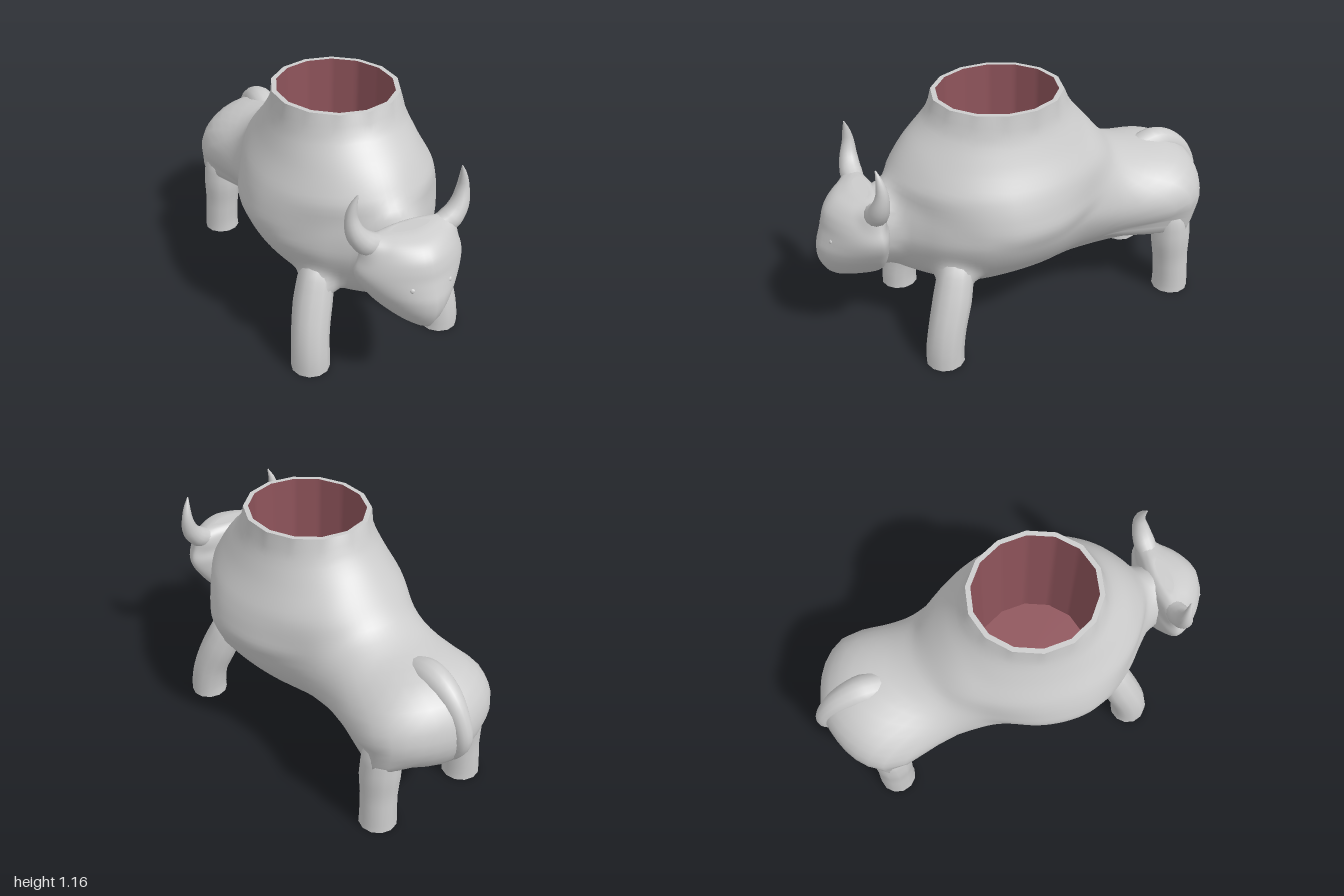
import * as THREE from 'three';

const grey = new THREE.MeshStandardMaterial({ color: 0xcccccc });
const red = new THREE.MeshStandardMaterial({ color: 0x8f545b });
const TAU = Math.PI * 2;
const around = (n, f) => Array.from({ length: n }, (_, j) => f(j / n * TAU));

// Skin a list of rings (each counter-clockwise about the direction of travel), with optional flat caps
function loft(name, rings, { start = false, end = false, material = grey } = {}) {
  const n = rings[0].length, pos = [], idx = [];
  rings.forEach(r => r.forEach(p => pos.push(p.x, p.y, p.z)));
  for (let i = 0; i < rings.length - 1; i++) {
    for (let j = 0; j < n; j++) {
      const k = (j + 1) % n, a = i * n + j, b = i * n + k;
      idx.push(a, b, b + n, a, b + n, a + n);
    }
  }
  const cap = (ring, flip) => {
    const base = pos.length / 3, c = new THREE.Vector3();
    ring.forEach(p => { pos.push(p.x, p.y, p.z); c.addScaledVector(p, 1 / n); });
    pos.push(c.x, c.y, c.z);
    for (let j = 0; j < n; j++) {
      const k = (j + 1) % n;
      idx.push(base + n, base + (flip ? k : j), base + (flip ? j : k));
    }
  };
  if (start) cap(rings[0], true);
  if (end) cap(rings[rings.length - 1], false);
  const g = new THREE.BufferGeometry();
  g.setAttribute('position', new THREE.Float32BufferAttribute(pos, 3));
  g.setIndex(idx);
  g.computeVertexNormals();
  const mesh = new THREE.Mesh(g, material);
  mesh.name = name;
  return mesh;
}

// Smoothly interpolated row of a table at t (first column), or null outside it
function rowAt(table, t) {
  const i = table.findIndex(r => r[0] >= t);
  if (i < 1) return null;
  const a = table[i - 1], b = table[i], before = table[Math.max(i - 2, 0)];
  const after = table[Math.min(i + 1, table.length - 1)];
  const w = b[0] - a[0], u = (t - a[0]) / w, u2 = u * u, u3 = u2 * u;
  return a.map((v, c) => {
    const ma = w * (b[c] - before[c]) / (b[0] - before[0]);
    const mb = w * (after[c] - v) / (after[0] - a[0]);
    return v * (2 * u3 - 3 * u2 + 1) + ma * (u3 - 2 * u2 + u) + b[c] * (3 * u2 - 2 * u3) + mb * (u3 - u2);
  });
}

// Solids: negative inside. blend() joins two with a soft fillet.
const blend = (a, b, k) => {
  const h = Math.max(k - Math.abs(a - b), 0) / k;
  return Math.min(a, b) - h * h * k / 4;
};
const balls = (p, x, y, z, r) => Math.hypot(Math.abs(p.x) - x, p.y - y, p.z - z) - r;

// Rounded surface of a solid, found along rays from its centre, below a ring that encircles the centre
function shell(name, solid, centre, opening, steps, caps) {
  const rings = [opening];
  for (let i = 1; i <= steps; i++) {
    rings.push(opening.map(o => {
      const d = o.clone().sub(centre), flat = Math.hypot(d.x, d.z);
      const t0 = Math.atan2(flat, d.y), t = t0 + (Math.PI - t0) * i / steps;
      const dir = new THREE.Vector3(d.x / flat * Math.sin(t), Math.cos(t), d.z / flat * Math.sin(t));
      const p = new THREE.Vector3();
      let lo = 0, hi = 1.3;
      for (let s = 0; s < 18; s++) {
        const m = (lo + hi) / 2;
        if (solid(p.copy(centre).addScaledVector(dir, m)) < 0) lo = m; else hi = m;
      }
      return p.copy(centre).addScaledVector(dir, lo);
    }));
  }
  return loft(name, rings.reverse(), caps);
}

// Barrel of the body: z, half width, bottom, widest height, top
const barrel = [
  [-0.962, 0.02, 0.46, 0.49, 0.52], [-0.94, 0.11, 0.39, 0.49, 0.59],
  [-0.9, 0.21, 0.33, 0.49, 0.65], [-0.84, 0.29, 0.28, 0.49, 0.695],
  [-0.76, 0.34, 0.25, 0.5, 0.73], [-0.68, 0.355, 0.23, 0.5, 0.742],
  [-0.56, 0.335, 0.22, 0.51, 0.76], [-0.42, 0.312, 0.215, 0.53, 0.83],
  [-0.29, 0.322, 0.21, 0.56, 0.95], [-0.19, 0.345, 0.205, 0.59, 0.97],
  [0, 0.425, 0.197, 0.61, 0.97], [0.19, 0.45, 0.195, 0.62, 0.97],
  [0.32, 0.42, 0.2, 0.61, 0.97], [0.41, 0.37, 0.23, 0.6, 0.97],
  [0.5, 0.3, 0.275, 0.59, 0.96], [0.58, 0.22, 0.32, 0.59, 0.9],
  [0.66, 0.155, 0.37, 0.59, 0.81], [0.8, 0.14, 0.39, 0.58, 0.78],
];
// Vessel rising from the back: y, half width, rear z, front z
const vessel = [
  [0.42, 0.22, -0.05, 0.28], [0.62, 0.43, -0.33, 0.48], [0.72, 0.43, -0.38, 0.57],
  [0.81, 0.408, -0.41, 0.63], [0.86, 0.385, -0.39, 0.61], [0.95, 0.34, -0.32, 0.55],
  [1.07, 0.293, -0.23, 0.44], [1.155, 0.285, -0.195, 0.41],
];
// Head: y, half width, rear z, front z
const skull = [
  [0.355, 0.01, 0.75, 0.85], [0.385, 0.06, 0.72, 0.925], [0.41, 0.1, 0.69, 0.955],
  [0.48, 0.165, 0.68, 0.99], [0.55, 0.215, 0.68, 0.995], [0.6, 0.243, 0.68, 0.98],
  [0.645, 0.253, 0.68, 0.965], [0.69, 0.24, 0.69, 0.955], [0.735, 0.215, 0.69, 0.935],
  [0.775, 0.185, 0.7, 0.89], [0.797, 0.14, 0.72, 0.83], [0.802, 0.1, 0.73, 0.8],
];

function bodySolid(p) {
  const b = rowAt(barrel, p.z), v = rowAt(vessel, p.y);
  let f = 1;
  if (b) {
    const [, hw, bottom, mid, top] = b, x = Math.abs(p.x) / hw;
    // the belly narrows to a keel
    f = p.y > mid ? Math.hypot(x, (p.y - mid) / (top - mid))
      : (x ** 1.5 + ((mid - p.y) / (mid - bottom)) ** 1.5) ** (1 / 1.5);
    f = (f - 1) * 0.3;
  }
  if (v) {
    const dz = p.z - 0.13;
    f = blend(f, (Math.hypot(p.x / v[1], dz / (dz > 0 ? v[3] - 0.13 : 0.13 - v[2])) - 1) * 0.35, 0.05);
  }
  // shoulders and haunches
  f = blend(f, balls(p, 0.27, 0.37, 0.45, 0.078), 0.09);
  return blend(f, balls(p, 0.25, 0.38, -0.72, 0.088), 0.09);
}

function headSolid(p) {
  const h = rowAt(skull, p.y), dz = p.z - 0.755;
  let f = 1;
  if (h) {
    const e = dz > 0 ? 1.6 : 2, depth = dz > 0 ? h[3] - 0.755 : 0.755 - h[2];
    f = (((Math.abs(p.x) / h[1]) ** e + (Math.abs(dz) / depth) ** e) ** (1 / e) - 1) * 0.2;
  }
  return blend(f, balls(p, 0.17, 0.75, 0.758, 0.046), 0.05);
}

// Tapered tube along points [x, y, z, radius]
function limb(name, pts, side, steps, n, caps) {
  const curve = new THREE.CatmullRomCurve3(pts.map(p => new THREE.Vector3(p[0] * side, p[1], p[2])));
  const f = curve.computeFrenetFrames(steps);
  const rings = [];
  for (let i = 0; i <= steps; i++) {
    const u = curve.getUtoTmapping(i / steps) * (pts.length - 1);
    const k = Math.min(Math.floor(u), pts.length - 2);
    const r = THREE.MathUtils.lerp(pts[k][3], pts[k + 1][3], u - k);
    const c = curve.getPointAt(i / steps);
    rings.push(around(n, a => c.clone()
      .addScaledVector(f.normals[i], r * Math.cos(a))
      .addScaledVector(f.binormals[i], r * Math.sin(a))));
  }
  return loft(name, rings, caps);
}

// Level ring of 98 points on a fourteen-sided outline
const level = (y, rx, rz, z) => around(98, a => {
  const s = TAU / 14, k = Math.cos(s / 2) / Math.cos((a + 1e-6) % s - s / 2);
  return new THREE.Vector3(k * rx * Math.sin(a), y, z + k * rz * Math.cos(a));
});

export function createModel() {
  const model = new THREE.Group();
  model.name = 'bullVessel';

  // Body with its open mouth, rim and straight cup
  const lip = level(1.155, 0.287, 0.303, 0.108), mouth = level(1.155, 0.264, 0.28, 0.108);
  model.add(
    shell('body', bodySolid, new THREE.Vector3(0, 0.45, 0.108), lip, 60),
    loft('rim', [lip, mouth]),
    loft('cupInside', [mouth, level(0.38, 0.264, 0.28, 0.108)], { end: true, material: red }),
  );

  model.add(shell('head', headSolid, new THREE.Vector3(0, 0.62, 0.77),
    level(0.801, 0.09, 0.03, 0.77), 48, { end: true }));

  // Paired parts
  for (const side of [1, -1]) {
    const label = side > 0 ? 'left' : 'right';
    model.add(limb(label + 'Horn', [
      [0.13, 0.745, 0.758, 0.045], [0.2, 0.77, 0.758, 0.053], [0.247, 0.825, 0.752, 0.043],
      [0.265, 0.9, 0.743, 0.028], [0.259, 0.96, 0.748, 0.017], [0.244, 1.01, 0.757, 0.003],
    ], side, 16, 14, { end: true }));
    model.add(limb(label + 'FrontLeg', [
      [0.345, 0, 0.53, 0.09], [0.345, 0.05, 0.53, 0.089], [0.334, 0.17, 0.51, 0.087],
      [0.3, 0.3, 0.468, 0.09], [0.26, 0.42, 0.43, 0.083], [0.23, 0.5, 0.4, 0.05],
    ], side, 14, 12, { start: true }));
    model.add(limb(label + 'HindLeg', [
      [0.264, 0, -0.732, 0.09], [0.264, 0.05, -0.732, 0.087], [0.258, 0.18, -0.725, 0.087],
      [0.252, 0.29, -0.72, 0.096], [0.242, 0.4, -0.72, 0.092], [0.22, 0.5, -0.72, 0.06],
    ], side, 14, 12, { start: true }));
    const eye = new THREE.Mesh(new THREE.SphereGeometry(0.014, 12, 8), grey);
    eye.name = label + 'Eye';
    eye.position.set(0.087 * side, 0.613, 0.938);
    model.add(eye);
  }

  // Tail lying against the rump
  model.add(limb('tail', [
    [0, 0.655, -0.6, 0.07], [0, 0.7, -0.74, 0.072], [0, 0.67, -0.84, 0.06],
    [0, 0.59, -0.92, 0.046], [0, 0.49, -0.955, 0.04], [0, 0.4, -0.925, 0.028],
    [0, 0.33, -0.88, 0.012],
  ], 1, 24, 14));

  return model;
}
